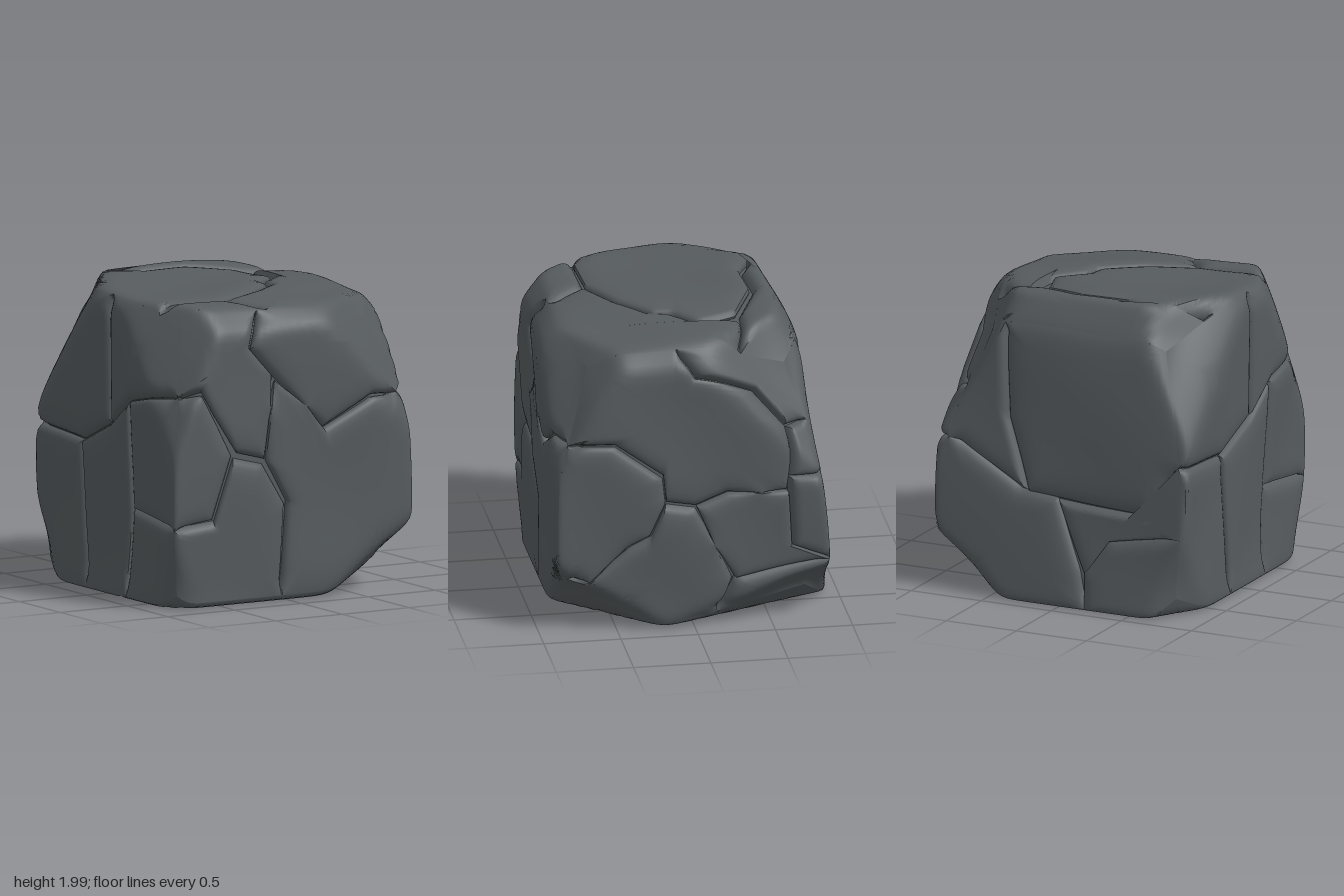
import * as THREE from 'three';
import { toCreasedNormals } from 'three/addons/utils/BufferGeometryUtils.js';

// Planes (nx, ny, nz, distance) that cut the block out, measured from its middle
const SIDES = [
  [1, 0, 0, 0.91], [-1, -0.02, 0, 0.905], [0, -0.02, 1, 0.915], [0, 0.1, -1, 0.82],
  [0.03, 1, 0.05, 0.962], [0, -1, 0, 1],
];
const BEVELS = [
  [0, 0.7, 0.7, 1.2], [0.7, 0.7, 0, 1.19], [-0.7, 0.6, 0, 1.18], [0, 0.5, -0.8, 0.98],
  [0, -0.3, 1, 1.16],
  [-0.85, 0.32, 0.52, 1.22], [0.85, 0.5, -0.52, 1.2], [0.5, 0.42, 0.75, 1.16], [-0.85, 0.45, -0.52, 1.22],
  [0.45, 0.55, -0.7, 1.18],
  [0.55, -0.8, 0.5, 1.38], [0.6, -0.75, -0.25, 1.22], [-0.85, -0.35, -0.52, 1.38], [-0.79, -0.3, 0.62, 1.43],
];
const PLANES = [...SIDES, ...BEVELS];
const ROUNDING = 55; // higher is sharper

// Push a point out from the middle to the rounded block, with shallow dents above the base
function onRock(p, drop = 0) {
  let sum = 0;
  for (const [a, b, c, d] of PLANES) {
    sum += Math.max(0, (a * p.x + b * p.y + c * p.z) / d) ** ROUNDING;
  }
  const k = sum ** (-1 / ROUNDING);
  const wave = 0.5 + 0.25 * Math.sin(5 * p.x + 3 * p.y + 1) + 0.25 * Math.sin(6 * p.z - 4 * p.y + 3 * p.x);
  const dent = wave * (1 - Math.max(0, -p.y) ** 8);
  return p.multiplyScalar(k * (1.004 - 0.034 * dent - drop));
}

// Each face: outline coordinates to a point on the cube, and whether they are mirrored
const H = 0.9;
const FACES = {
  front: { at: (u, v) => [u, v - 1, H], flip: false },
  back: { at: (u, v) => [u, v - 1, -H], flip: true },
  right: { at: (u, v) => [H, v - 1, u], flip: true },
  left: { at: (u, v) => [-H, v - 1, u], flip: false },
  top: { at: (u, v) => [u, 1, v], flip: true, flat: true },
  bottom: { at: (u, v) => [u, -1, v], flip: false, flat: true },
};

// Outlines of the stones: (x, y), (z, y) or (x, z); a third number is the crack depth there
const STONES = {
  front: [
    [[-0.9, 2], [-0.24, 2], [-0.32, 1.68], [-0.14, 1.48], [-0.17, 1.25, 0], [-0.2, 0.92], [-0.42, 0.98], [-0.6, 1.25], [-0.7, 1.42], [-0.9, 1.42]],
    [[-0.24, 2], [0.9, 2], [0.9, 1.3], [0.62, 1.29], [0.25, 1.1], [0.1, 1.25, 0], [-0.13, 1.47], [-0.32, 1.68]],
    [[0.25, 1.1], [0.62, 1.28], [0.9, 1.3], [0.9, 0], [-0.07, 0], [-0.03, 0.62], [-0.2, 0.92], [-0.17, 1.25, 0], [-0.13, 1.46], [0.1, 1.25, 0]],
    [[-0.45, 0.96], [-0.22, 0.9], [-0.04, 0.61], [-0.07, 0], [-0.9, 0], [-0.9, 0.5], [-0.6, 0.53]],
    [[-0.9, 1.42], [-0.69, 1.4], [-0.58, 1.2], [-0.46, 0.97], [-0.61, 0.54], [-0.9, 0.5]],
  ],
  right: [
    [[0.9, 2], [0.13, 2], [0, 1.74], [-0.45, 1.65], [-0.68, 1.35], [-0.62, 0.9], [-0.42, 0.9, 0], [-0.22, 0.9], [0, 0.82], [0.2, 0.86], [0.22, 1.05], [0.55, 1.29], [0.9, 1.3]],
    [[0.9, 1.3], [0.55, 1.28], [0.22, 1.03], [0.2, 0.85], [0.3, 0.63], [0.45, 0.55], [0.7, 0.34, 0], [0.9, 0.3]],
    [[0.9, 0.3], [0.7, 0.33, 0], [0.45, 0.54], [0.3, 0.62], [0.2, 0.85], [0, 0.81], [-0.12, 0.56, 0], [-0.25, 0.3], [-0.15, 0], [0.9, 0]],
    [[0, 0.82], [-0.22, 0.9], [-0.42, 0.9, 0], [-0.62, 0.9], [-0.65, 0.5], [-0.9, 0.4], [-0.26, 0.3], [-0.12, 0.56, 0]],
    [[-0.26, 0.3], [-0.9, 0.4], [-0.9, 0], [-0.15, 0]],
    [[-0.62, 1], [-0.9, 1], [-0.9, 0.4], [-0.65, 0.5]],
    [[0.13, 2], [-0.9, 2], [-0.9, 1.4], [-0.68, 1.36], [-0.46, 1.66], [0, 1.75]],
    [[-0.9, 1.4], [-0.68, 1.35], [-0.62, 1], [-0.9, 1]],
  ],
  left: [
    [[-0.9, 2], [0.1, 2], [0.1, 1.12], [-0.3, 0.95], [-0.9, 1]],
    [[0.1, 2], [0.9, 2], [0.9, 1.42], [0.35, 1.3], [0.1, 1.12]],
    [[0.9, 1.42], [0.35, 1.3], [0.35, 0.55], [0.9, 0.5]],
    [[0.9, 0.5], [0.35, 0.55], [0.3, 0], [0.9, 0]],
    [[0.35, 1.3], [0.1, 1.12], [-0.3, 0.95], [-0.2, 0], [0.3, 0], [0.35, 0.55]],
    [[-0.3, 0.95], [-0.9, 1], [-0.9, 0], [-0.2, 0]],
  ],
  back: [
    [[-0.9, 2], [0.6, 2], [0.5, 1.2], [0.3, 0.66], [-0.75, 0.6], [-0.9, 1]],
    [[0.9, 2], [0.6, 2], [0.5, 1.2], [0.3, 0.67], [0.9, 1]],
    [[0.9, 1], [0.35, 0.68], [0.05, 0.65], [-0.15, 0.2], [-0.2, 0], [0.9, 0]],
    [[0.05, 0.64], [-0.75, 0.6], [-0.9, 1], [-0.9, 0.5], [-0.35, 0.42], [-0.17, 0.2]],
    [[-0.18, 0], [-0.17, 0.22], [-0.35, 0.42], [-0.9, 0.5], [-0.9, 0]],
  ],
  top: [
    [[-0.9, -0.3], [-0.72, -0.7], [-0.3, -0.5], [0.05, -0.52], [0.4, -0.38], [0.5, -0.1], [0.3, 0.06], [0.28, 0.2], [0, 0.43], [-0.35, 0.6], [-0.9, 0.62]],
    [[0.5, -0.1], [0.31, 0.08], [0.28, 0.22], [0, 0.44], [-0.33, 0.61], [-0.15, 0.9], [0.9, 0.9], [0.9, -0.4], [0.52, -0.4]],
    [[0.42, -0.4], [0.9, -0.4], [0.9, -0.9], [-0.9, -0.9], [-0.9, -0.4], [-0.72, -0.7], [-0.3, -0.52], [0.05, -0.54]],
    [[-0.9, 0.62], [-0.33, 0.61], [-0.15, 0.9], [-0.9, 0.9]],
  ],
  bottom: [
    [[0.9, -0.9], [0.9, 0.9], [-0.9, 0.9], [-0.9, 0.25], [-0.4, -0.1], [-0.2, -0.9]],
    [[-0.2, -0.9], [-0.4, -0.1], [-0.9, 0.25], [-0.9, -0.9]],
  ],
};

// Rings from the sunken rim to the middle: [size, drop]
const RINGS = [
  [1, 0.12], [0.985, 0.045], [0.95, 0.022], [0.9, 0.012], [0.83, 0.005],
  [0.74, 0.001], [0.65, 0], [0.55, 0], [0.45, 0], [0.34, 0], [0.2, 0], [0.001, 0],
];

function stoneGeometry(face, corners) {
  // Area, middle and finely divided outline
  let area = 0, cu = 0, cv = 0;
  const rim = [];
  corners.forEach(([u0, v0, d0 = 1], i) => {
    const [u1, v1, d1 = 1] = corners[(i + 1) % corners.length];
    const w = u0 * v1 - u1 * v0;
    area += w / 2;
    cu += (u0 + u1) * w / 6;
    cv += (v0 + v1) * w / 6;
    const n = Math.max(2, Math.ceil(Math.hypot(u1 - u0, v1 - v0) / 0.045));
    for (let j = 0; j < n; j++) {
      const t = j / n;
      rim.push([u0 + (u1 - u0) * t, v0 + (v1 - v0) * t, d0 + (d1 - d0) * t]);
    }
  });
  cu /= area;
  cv /= area;
  if ((area < 0) !== face.flip) rim.reverse();

  const pos = [], index = [], n = rim.length;
  RINGS.forEach(([size, drop], r) => {
    rim.forEach(([ru, rv, depth], i) => {
      // Cracks fade out at the edges of the block so that stones wrap round them
      const edge = Math.max(Math.abs(ru) / H, face.flat ? Math.abs(rv) / H : Math.abs(rv - 1));
      const sink = drop * depth * Math.min(1, (1 - edge) / 0.06);
      const u = cu + (ru - cu) * size, v = cv + (rv - cv) * size;
      pos.push(...onRock(new THREE.Vector3(...face.at(u, v)), sink).toArray());
      if (r === RINGS.length - 1) return;
      const a = r * n + i, b = r * n + (i + 1) % n;
      index.push(a, b, b + n, a, b + n, a + n);
    });
  });
  const g = new THREE.BufferGeometry();
  g.setAttribute('position', new THREE.Float32BufferAttribute(pos, 3));
  g.setIndex(index);
  return toCreasedNormals(g, 0.8);
}

export function createModel() {
  const model = new THREE.Group();
  model.name = 'boulder';
  const stone = new THREE.MeshStandardMaterial({ color: 0x565b5e });
  stone.name = 'dark grey stone';

  const rock = new THREE.Group();
  rock.name = 'rock';
  model.add(rock);

  // Core seen at the bottom of the cracks
  const core = new THREE.BoxGeometry(2 * H, 2, 2 * H, 24, 24, 24);
  const p = core.attributes.position, v = new THREE.Vector3();
  for (let i = 0; i < p.count; i++) {
    onRock(v.fromBufferAttribute(p, i), 0.06);
    p.setXYZ(i, v.x, v.y, v.z);
  }
  core.computeVertexNormals();
  const coreMesh = new THREE.Mesh(core, stone);
  coreMesh.name = 'core';
  rock.add(coreMesh);

  // Stones on every side
  for (const [side, outlines] of Object.entries(STONES)) {
    outlines.forEach((corners, i) => {
      const mesh = new THREE.Mesh(stoneGeometry(FACES[side], corners), stone);
      mesh.name = `${side}Stone${i + 1}`;
      rock.add(mesh);
    });
  }

  // Stand on the ground, centred
  const box = new THREE.Box3().setFromObject(rock);
  const mid = box.getCenter(new THREE.Vector3());
  rock.position.set(-mid.x, -box.min.y, -mid.z);
  return model;
}
